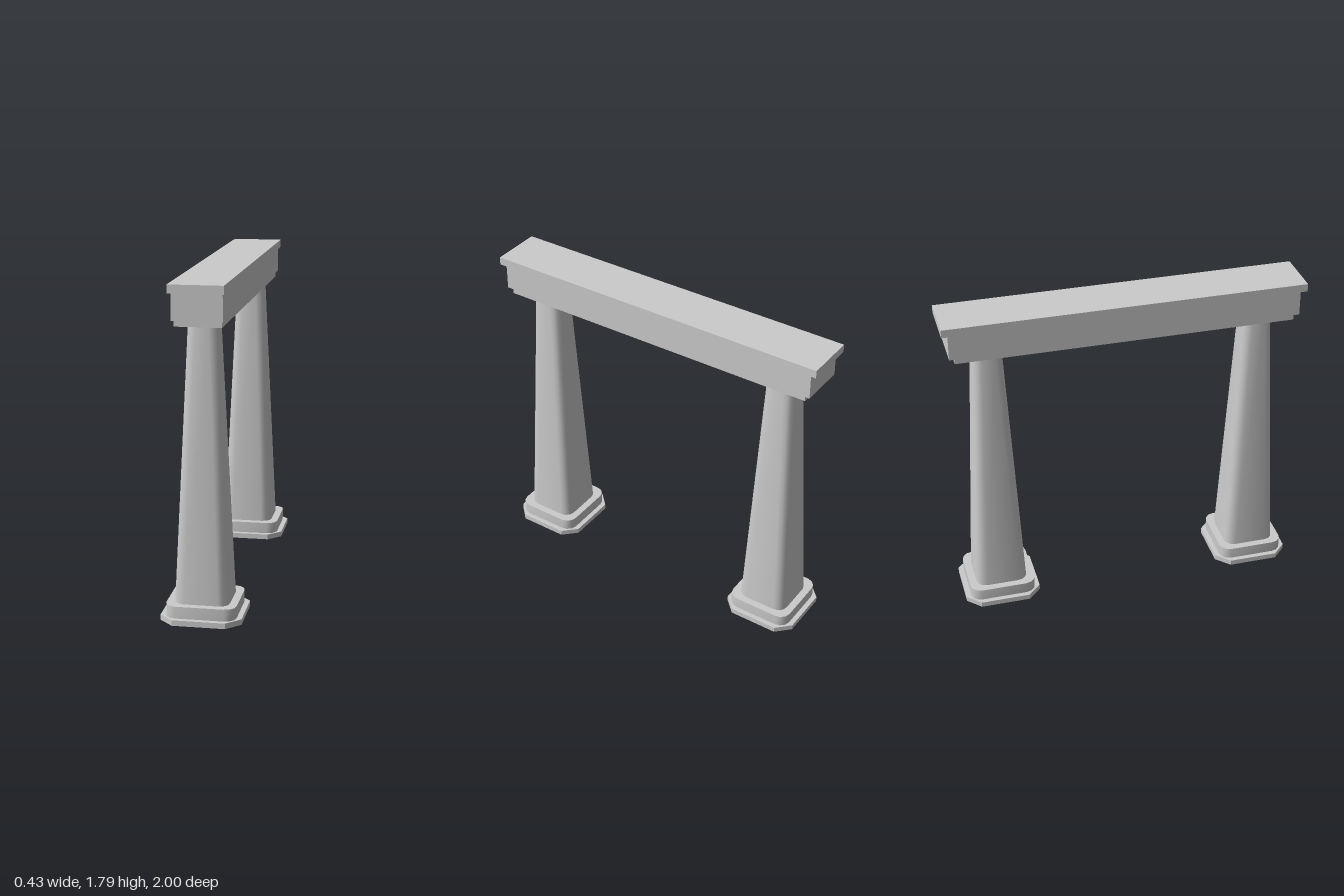
import * as THREE from 'three';
import { toCreasedNormals } from 'three/addons/utils/BufferGeometryUtils.js';

const stone = new THREE.MeshStandardMaterial({ color: 0xcccccc });
const shellStone = new THREE.MeshStandardMaterial({ color: 0xcccccc, side: THREE.DoubleSide });
const CORNER = 3; // segments per corner

// Square outline with cut (straight) or rounded corners
function ring({ y, half, corner, round }) {
  const points = [];
  for (let q = 0; q < 4; q++) {
    for (let i = 0; i <= CORNER; i++) {
      const t = i / CORNER;
      const a = t * Math.PI / 2;
      const u = half - corner + corner * (round ? Math.cos(a) : 1 - t);
      const v = half - corner + corner * (round ? Math.sin(a) : t);
      const c = [1, 0, -1, 0][q], s = [0, 1, 0, -1][q];
      points.push([u * c - v * s, y, -(u * s + v * c)]);
    }
  }
  return points;
}

// Skin through consecutive rings, open at both ends
function loft(sections) {
  const rings = sections.map(ring);
  const n = rings[0].length;
  const index = [];
  for (let r = 0; r < rings.length - 1; r++) {
    for (let i = 0; i < n; i++) {
      const a = r * n + i, b = r * n + (i + 1) % n;
      index.push(a, b, b + n, a, b + n, a + n);
    }
  }
  const geometry = new THREE.BufferGeometry();
  geometry.setAttribute('position', new THREE.Float32BufferAttribute(rings.flat(2), 3));
  geometry.setIndex(index);
  return toCreasedNormals(geometry, 0.6);
}

function addMesh(parent, name, geometry, material) {
  const mesh = new THREE.Mesh(geometry, material);
  mesh.name = name;
  parent.add(mesh);
  return mesh;
}

function makeColumn(name) {
  const column = new THREE.Group();
  column.name = name;
  const plinth = { half: 0.215, corner: 0.075, round: false };
  const step = { half: 0.187, corner: 0.06, round: true };
  const foot = { y: 0.095, half: 0.146, corner: 0.055, round: true };

  // Hollow stepped base
  addMesh(column, 'plinth', loft([
    { ...plinth, y: 0 }, { ...plinth, y: 0.03 }, { ...step, y: 0.03 },
  ]), shellStone);
  addMesh(column, 'baseStep', loft([
    { ...step, y: 0.03 }, { ...step, y: 0.095 }, foot,
  ]), shellStone);

  // Tapered shaft with soft corners
  addMesh(column, 'shaft', loft([
    foot, { y: 1.57, half: 0.08, corner: 0.045, round: true },
  ]), shellStone);
  return column;
}

export function createModel() {
  const model = new THREE.Group();
  model.name = 'columnGateway';

  // Front and back columns
  for (const side of [1, -1]) {
    const column = makeColumn(side > 0 ? 'frontColumn' : 'backColumn');
    column.position.z = side * 0.752;
    model.add(column);
  }

  // Stepped lintel: name, half width, half length, bottom, top
  const beam = new THREE.Group();
  beam.name = 'lintel';
  for (const [name, x, z, y0, y1] of [
    ['lowerMoulding', 0.122, 0.937, 1.568, 1.6],
    ['frieze', 0.131, 0.966, 1.6, 1.743],
    ['cornice', 0.143, 1, 1.743, 1.787],
  ]) {
    const box = addMesh(beam, name, new THREE.BoxGeometry(2 * x, y1 - y0, 2 * z), stone);
    box.position.y = (y0 + y1) / 2;
  }
  model.add(beam);
  return model;
}
